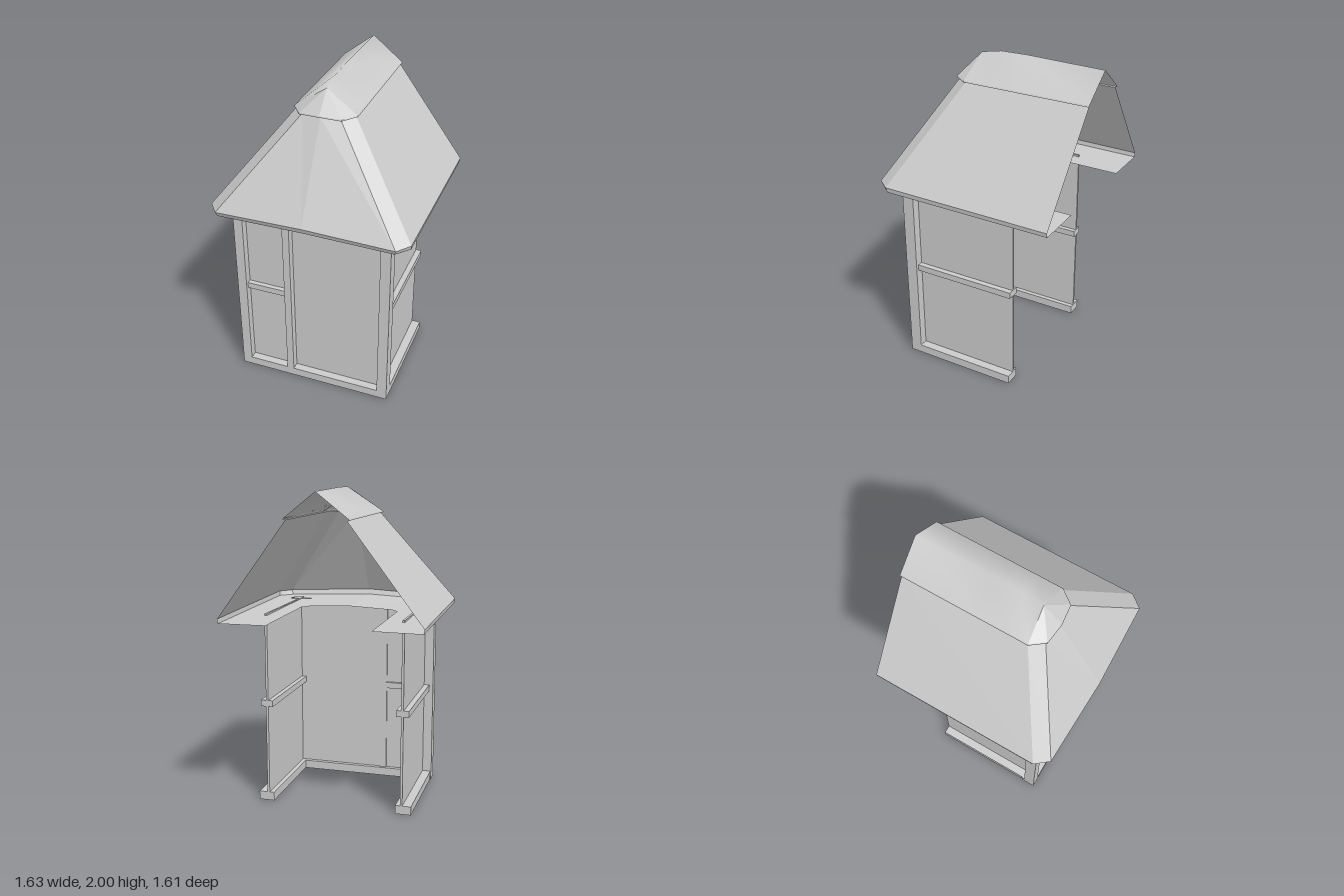
import * as THREE from 'three';

const flat = new THREE.MeshStandardMaterial({ color: 0xcccccc, flatShading: true, side: THREE.DoubleSide });
const smooth = new THREE.MeshStandardMaterial({ color: 0xcccccc, side: THREE.DoubleSide });

// Box given by its minimum and maximum corners
function box(parent, name, [x0, y0, z0], [x1, y1, z1]) {
  const mesh = new THREE.Mesh(new THREE.BoxGeometry(x1 - x0, y1 - y0, z1 - z0), flat);
  mesh.position.set((x0 + x1) / 2, (y0 + y1) / 2, (z0 + z1) / 2);
  mesh.name = name;
  parent.add(mesh);
}

// Surface stretched over equally long rows of points
function loft(parent, name, rows, material) {
  const n = rows[0].length;
  const index = [];
  for (let r = 0; r < rows.length - 1; r++) {
    for (let i = 0; i < n - 1; i++) {
      const a = r * n + i, b = a + n;
      index.push(a, a + 1, b, b, a + 1, b + 1);
    }
  }
  const geometry = new THREE.BufferGeometry();
  geometry.setAttribute('position', new THREE.Float32BufferAttribute(rows.flat(2), 3));
  geometry.setIndex(index);
  geometry.computeVertexNormals();
  const mesh = new THREE.Mesh(geometry, material);
  mesh.name = name;
  parent.add(mesh);
}

// Open U-shaped ring: back left, round the chamfered front, to back right
function ring(half, back, side, chamfer, front, mid, y, sag) {
  const right = [
    [half, y - sag * 0.6, back], [half, y, side], [chamfer, y, front],
  ];
  const left = right.map(([x, h, z]) => [-x, h, z]);
  return [...left, [0, y + sag, mid], ...right.reverse()];
}

export function createModel() {
  const model = new THREE.Group();
  model.name = 'gabledBooth';
  const house = new THREE.Group();
  house.name = 'house';
  house.rotation.y = -Math.PI / 6;
  house.position.x = -0.006;
  model.add(house);

  const top = 1.225, rear = -0.25, f = 0.495;

  // Front wall: panel, posts, sill and the rail of the narrow bay
  box(house, 'frontPanel', [-0.45, 0, 0.43], [0.45, top, 0.445]);
  for (const [x0, x1] of [[-0.505, -0.445], [-0.185, -0.14], [0.435, 0.5]]) {
    box(house, 'frontPost', [x0, 0, 0.42], [x1, top, f]);
  }
  box(house, 'frontSill', [-0.505, 0, 0.4], [0.5, 0.055, f]);
  box(house, 'frontRail', [-0.45, 0.628, 0.41], [-0.18, 0.668, 0.475]);

  // Side walls, open at the rear
  for (const s of [-1, 1]) {
    const side = new THREE.Group();
    side.name = s > 0 ? 'leftWall' : 'rightWall';
    const part = (name, inner, outer, y0, y1) => box(side, name,
      [Math.min(s * inner, s * outer), y0, rear], [Math.max(s * inner, s * outer), y1, 0.43]);
    part('sidePanel', 0.43, 0.445, 0, top);
    part('sideRail', 0.4, 0.48, 0.628, 0.668);
    part('sideSill', 0.4, 0.5, 0, 0.055);
    house.add(side);
  }

  // Soffit, eave edge, slopes and the small lip under the cap
  const hole = ring(0.32, -0.565, 0.1, 0.28, 0.15, 0.165, 1.217, 0.01);
  const eaveBottom = ring(0.62, -0.565, 0.515, 0.55, 0.595, 0.615, 1.222, 0.022);
  const eaveTop = ring(0.624, -0.565, 0.525, 0.558, 0.608, 0.628, 1.252, 0.026);
  const slopeTop = ring(0.18, -0.585, 0.22, 0.118, 0.297, 0.312, 1.832, 0.006);
  const capBottom = ring(0.195, -0.59, 0.23, 0.13, 0.316, 0.332, 1.835, 0.008);
  const capEdge = ring(0.191, -0.59, 0.229, 0.128, 0.314, 0.33, 1.843, 0.008);
  loft(house, 'soffit', [hole, eaveBottom], flat);
  loft(house, 'roofSlopes', [eaveBottom, eaveTop, slopeTop], flat);
  loft(house, 'capLip', [slopeTop, capBottom, capEdge], flat);

  // Ridge cap: softly rounded long sides, hipped front
  const ridge = [[0, 1.988, -0.594], [0, 2.0, -0.1], [0, 1.997, 0.08], [0, 1.972, 0.212]];
  const edgeRow = (s) => {
    const edge = s < 0 ? capEdge : [...capEdge].reverse();
    const [a, b] = [edge[0], edge[1]];
    const at = (z) => {
      const t = (z - a[2]) / (b[2] - a[2]);
      return [a[0], a[1] + (b[1] - a[1]) * t, z];
    };
    return [a, at(-0.1), at(0.08), b];
  };
  loft(house, 'capSides', [edgeRow(-1), ridge, edgeRow(1)], smooth);
  const hip = capEdge.slice(1, -1);
  loft(house, 'capHip', [hip, hip.map(() => ridge[3])], flat);

  return model;
}
